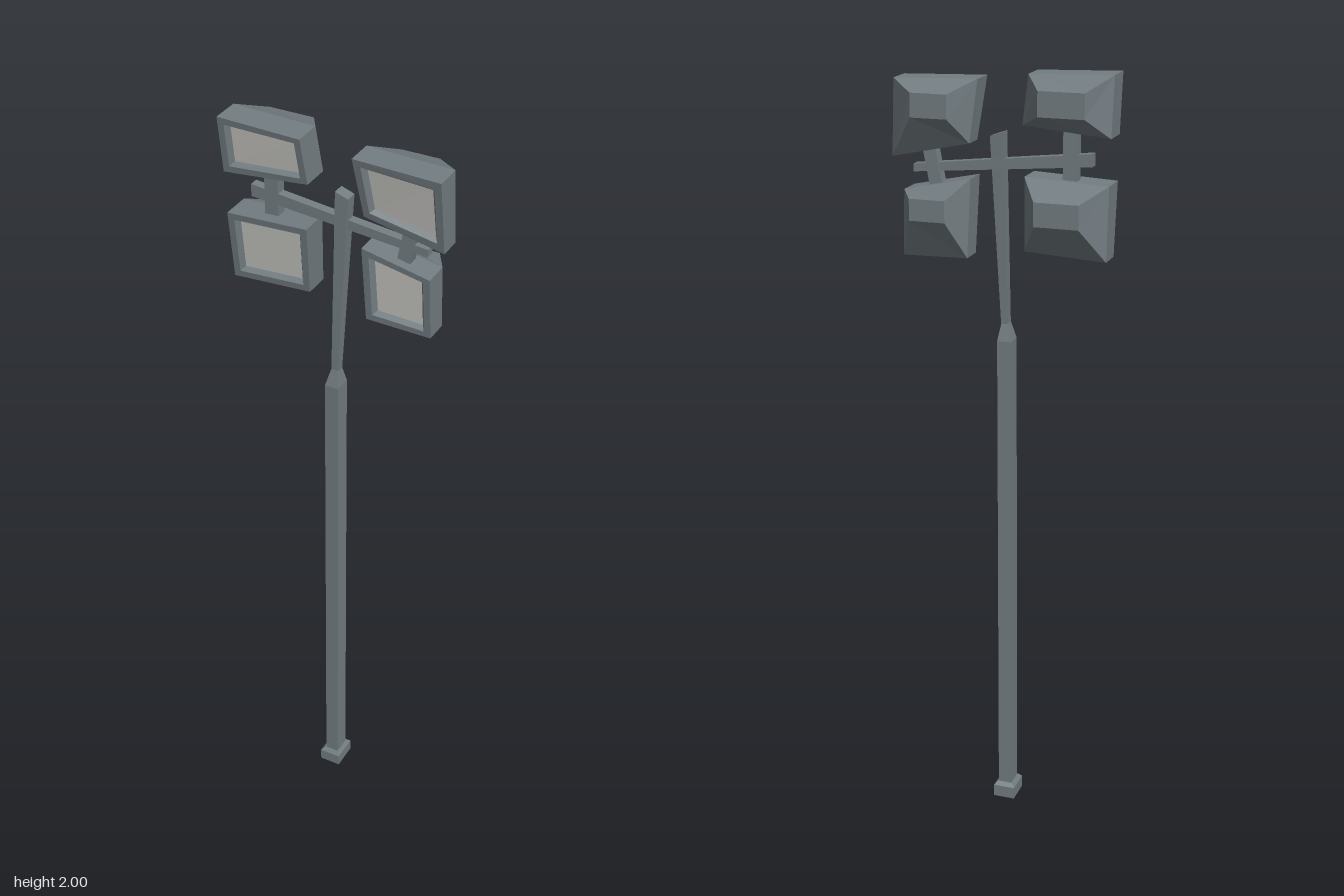
import * as THREE from 'three';

// Lofts four-cornered rings; each ring runs counter-clockwise seen from the start side.
function loft(rings, startCap = true, endCap = true) {
  const pos = [];
  const quad = (a, b, c, d) => pos.push(...a, ...b, ...c, ...a, ...c, ...d);
  for (let k = 0; k < rings.length - 1; k++) {
    const a = rings[k], b = rings[k + 1];
    for (let i = 0; i < 4; i++) {
      const j = (i + 1) % 4;
      quad(a[i], b[i], b[j], a[j]);
    }
  }
  const last = rings[rings.length - 1];
  if (startCap) quad(...rings[0]);
  if (endCap) quad(last[3], last[2], last[1], last[0]);
  const geo = new THREE.BufferGeometry();
  geo.setAttribute('position', new THREE.Float32BufferAttribute(pos, 3));
  geo.computeVertexNormals();
  return geo;
}

// Horizontal ring for upright parts; tilt lowers the +x side.
const level = (x, y, z, w, d, tilt = 0) => [
  [x - w / 2, y + tilt, z + d / 2], [x + w / 2, y - tilt, z + d / 2],
  [x + w / 2, y - tilt, z - d / 2], [x - w / 2, y + tilt, z - d / 2],
];

// Upright ring for the crossbar, facing +x.
const upright = (x, y, z, h, d) => [
  [x, y - h / 2, z + d / 2], [x, y - h / 2, z - d / 2],
  [x, y + h / 2, z - d / 2], [x, y + h / 2, z + d / 2],
];

// Moves the corners of a quad inward by a border and back by a depth.
function inset(q, border, depth) {
  const u = border / (q[1][0] - q[0][0]), v = border / (q[3][1] - q[0][1]);
  return [[u, v], [1 - u, v], [1 - u, 1 - v], [u, 1 - v]].map(([s, t]) =>
    [0, 1, 2].map((k) =>
      (1 - t) * ((1 - s) * q[0][k] + s * q[1][k]) +
      t * ((1 - s) * q[3][k] + s * q[2][k]) - (k === 2 ? depth : 0)));
}

export function createModel() {
  const metal = new THREE.MeshStandardMaterial({ color: 0x737d82 });
  metal.name = 'greyMetal';
  metal.flatShading = true;
  const glass = new THREE.MeshStandardMaterial({ color: 0xcac9c5 });
  glass.name = 'paleGlass';
  glass.flatShading = true;

  const model = new THREE.Group();
  model.name = 'floodlightMast';
  const add = (name, geo, mat = metal, parent = model) => {
    const mesh = new THREE.Mesh(geo, mat);
    mesh.name = name;
    parent.add(mesh);
  };

  // Foot, main pole and the leaning upper pole
  add('foot', loft([
    level(-0.015, 0.042, 0.037, 0.044, 0.056),
    level(-0.015, 0.033, 0.036, 0.058, 0.072),
    level(-0.015, 0, 0.036, 0.058, 0.072),
  ]));
  add('pole', loft([
    level(-0.007, 1.365, 0.037, 0.018, 0.022),
    level(-0.009, 1.32, 0.037, 0.037, 0.046),
    level(-0.014, 0.035, 0.037, 0.037, 0.048),
  ]));
  add('upperPole', loft([
    level(0.009, 1.846, 0.024, 0.034, 0.032, 0.006),
    level(-0.007, 1.35, 0.037, 0.018, 0.022),
  ]));

  // Crossbar, thinner toward its left end
  add('crossbar', loft([
    upright(0.228, 1.75, 0.022, 0.02, 0.024),
    upright(-0.235, 1.796, 0.022, 0.032, 0.024),
  ]));

  // Stems joining the lamps to the crossbar
  [
    ['rightStem', -0.18, 1.885, -0.18, 1.72, 0.036],
    ['leftStem', 0.19, 1.83, 0.163, 1.69, 0.034],
  ].forEach(([name, xt, yt, xb, yb, w]) =>
    add(name, loft([level(xt, yt, 0.02, w, 0.03), level(xb, yb, 0.02, w, 0.03)])));

  // Lamps: front corners [x, y] (from lower right side, counter-clockwise),
  // front depth bottom/top, middle depth bottom/top, back box [x0, x1, y0, y1, z]
  const lamps = [
    { name: 'upperRightLamp', zf: [0.075, 0.095], zm: [0.0, 0.02],
      front: [[-0.283, 1.852], [-0.06, 1.873], [-0.068, 1.993], [-0.283, 2.0]],
      back: [-0.235, -0.118, 1.905, 1.967, -0.064] },
    { name: 'upperLeftLamp', zf: [0.06, 0.09], zm: [0.002, 0.018],
      front: [[0.077, 1.82], [0.281, 1.777], [0.281, 1.968], [0.061, 1.975]],
      back: [0.115, 0.21, 1.885, 1.945, -0.055] },
    { name: 'lowerRightLamp', zf: [0.045, 0.068], zm: [-0.022, -0.01],
      front: [[-0.283, 1.556], [-0.074, 1.568], [-0.069, 1.75], [-0.283, 1.74]],
      back: [-0.233, -0.12, 1.648, 1.708, -0.095] },
    { name: 'lowerLeftLamp', zf: [0.045, 0.06], zm: [-0.018, -0.008],
      front: [[0.077, 1.537], [0.247, 1.533], [0.247, 1.698], [0.071, 1.735]],
      back: [0.115, 0.208, 1.635, 1.69, -0.076] },
  ];
  for (const { name, zf, zm, front, back } of lamps) {
    const lamp = new THREE.Group();
    lamp.name = name;
    const ring = (z) => front.map(([x, y], i) => [x, y, z[i < 2 ? 0 : 1]]);
    const face = ring(zf);
    const [x0, x1, y0, y1, z] = back;
    const rear = [[x0, y0, z], [x1, y0, z], [x1, y1, z], [x0, y1, z]];
    const pane = inset(face, 0.026, 0.014);
    add('housing', loft([pane, inset(face, 0.017, 0), face, ring(zm), rear], false), metal, lamp);
    add('pane', loft([pane], true, false), glass, lamp);
    model.add(lamp);
  }
  return model;
}
